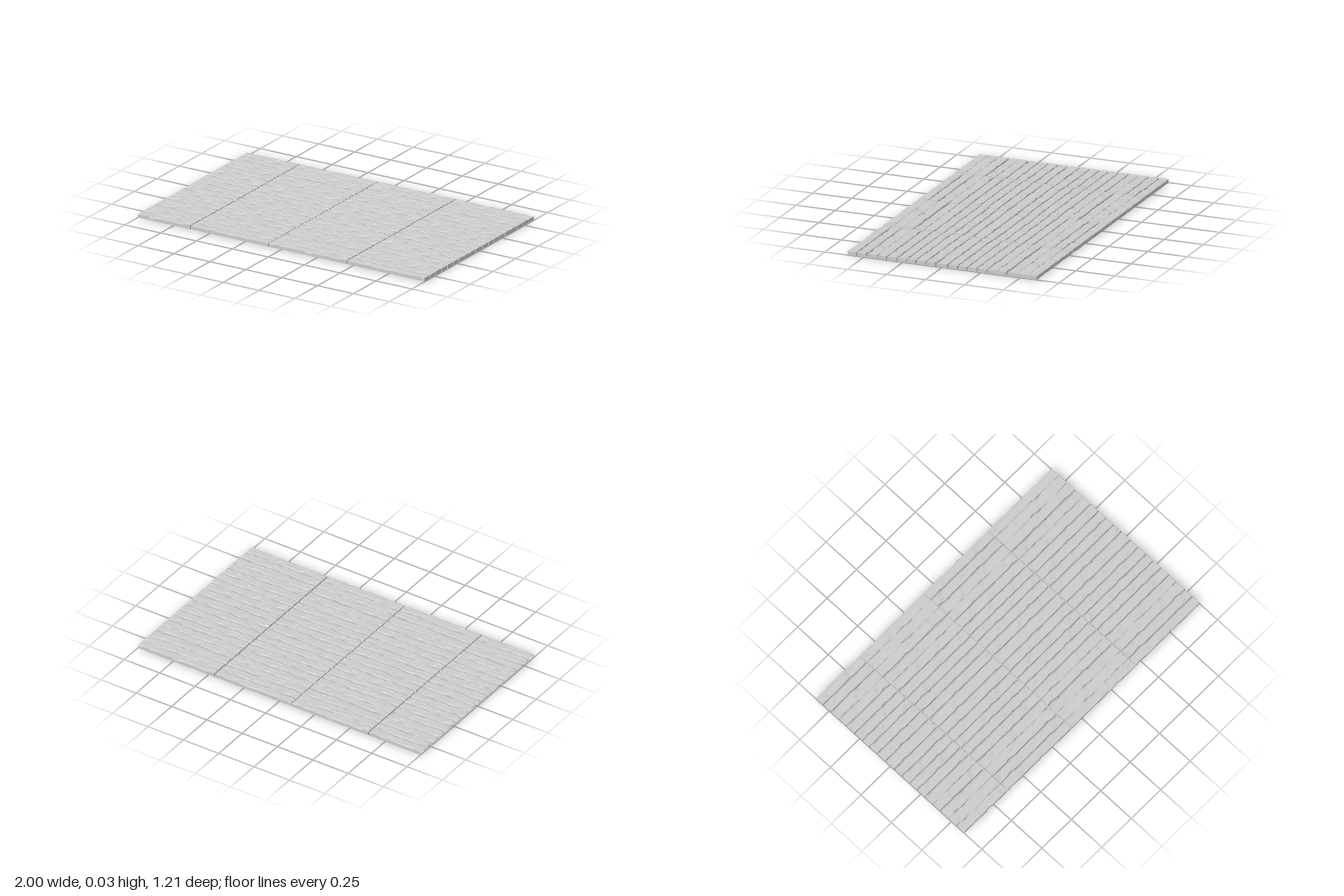
import * as THREE from 'three';
import { toCreasedNormals } from 'three/addons/utils/BufferGeometryUtils.js';

const LENGTH = 0.54;
const STEPS = 44;
const CUT = 0.325; // share of a plank removed where the floor is trimmed

// Seam positions and widths across the floor, including both outer edges
const SEAMS = [-0.607, -0.547, -0.483, -0.417, -0.354, -0.289, -0.226, -0.168, -0.104, -0.038,
  0.035, 0.099, 0.161, 0.222, 0.286, 0.351, 0.413, 0.48, 0.547, 0.607];
const GAPS = [0.002, 0.006, 0.006, 0.0005, 0.006, 0.006, 0.005, 0.005, 0.006, 0.006,
  0.006, 0.006, 0.005, 0.005, 0.006, 0.001, 0.009, 0.0005, 0.0005, 0.002];

// Cross-section from back wall over the top to front wall: [share of width, height]
const SECTION = [[0, 0], [0, 0.0205], [0.06, 0.0225], [0.2, 0.0232], [0.36, 0.0225], [0.5, 0.0233],
  [0.64, 0.0226], [0.8, 0.0232], [0.94, 0.0225], [1, 0.0205], [1, 0]];

// Repeatable smooth noise in -1..1
function wave(t, seed) {
  return (Math.sin(t * 11 + seed * 2.7) + Math.sin(t * 23 + seed * 5.1) + Math.sin(t * 41 + seed * 1.3)) / 3;
}

// Worn edge: mostly straight with shallow bites
const bite = (t, seed) => 0.008 * Math.max(0, wave(t, seed) - 0.22);

// Hollow plank with top, long walls and end walls; a trimmed start is left open
function plankGeometry(i, start) {
  const geo = new THREE.PlaneGeometry(1, 1, STEPS, SECTION.length - 1);
  const pos = geo.attributes.position;
  for (let row = 0; row < SECTION.length; row++) {
    const [v, h] = SECTION[row];
    for (let col = 0; col <= STEPS; col++) {
      // The first and last columns drop to the ground as end walls
      const s = THREE.MathUtils.clamp((col - 1) / (STEPS - 2), 0, 1);
      const t = start + (1 - start) * s;
      const back = SEAMS[i] + GAPS[i] / 2 + bite(t, i * 3 + 1);
      const front = SEAMS[i + 1] - GAPS[i + 1] / 2 - bite(t, i * 3 + 2);
      // Ragged end grain
      const ragged = 0.003 * Math.abs(wave(v * 0.8, i * 2 + 4));
      let x = (t - 0.5) * LENGTH;
      if (s === 1) x -= ragged;
      if (s === 0 && start === 0) x += ragged;
      const skirt = col === STEPS || (col === 0 && start === 0);
      const y = skirt || h === 0 ? 0 : h + 0.0028 * wave(t * 0.9 + v * 0.5, i * 4 + v * 2);
      pos.setXYZ(row * (STEPS + 1) + col, x, y, THREE.MathUtils.lerp(back, front, v));
    }
  }
  return toCreasedNormals(geo, 0.7);
}

export function createModel() {
  const floor = new THREE.Group();
  floor.name = 'plankFloor';
  const material = new THREE.MeshStandardMaterial({ color: 0xcccccc, side: THREE.DoubleSide });

  const indices = SEAMS.slice(1).map((_, i) => i);
  const whole = indices.map((i) => plankGeometry(i, 0));
  const trimmed = indices.map((i) => plankGeometry(i, CUT));

  // Four sections, every second one turned end for end
  const sections = [
    { x: -0.9055, planks: trimmed, turned: false },
    { x: -0.3605, planks: whole, turned: true },
    { x: 0.183, planks: whole, turned: false },
    { x: 0.729, planks: whole, turned: true },
  ];
  sections.forEach(({ x, planks, turned }, n) => {
    const section = new THREE.Group();
    section.name = `floorSection${n + 1}`;
    section.position.x = x;
    if (turned) section.rotation.y = Math.PI;
    planks.forEach((geo, i) => {
      const plank = new THREE.Mesh(geo, material);
      plank.name = `plank${i + 1}`;
      section.add(plank);
    });
    floor.add(section);
  });
  return floor;
}
